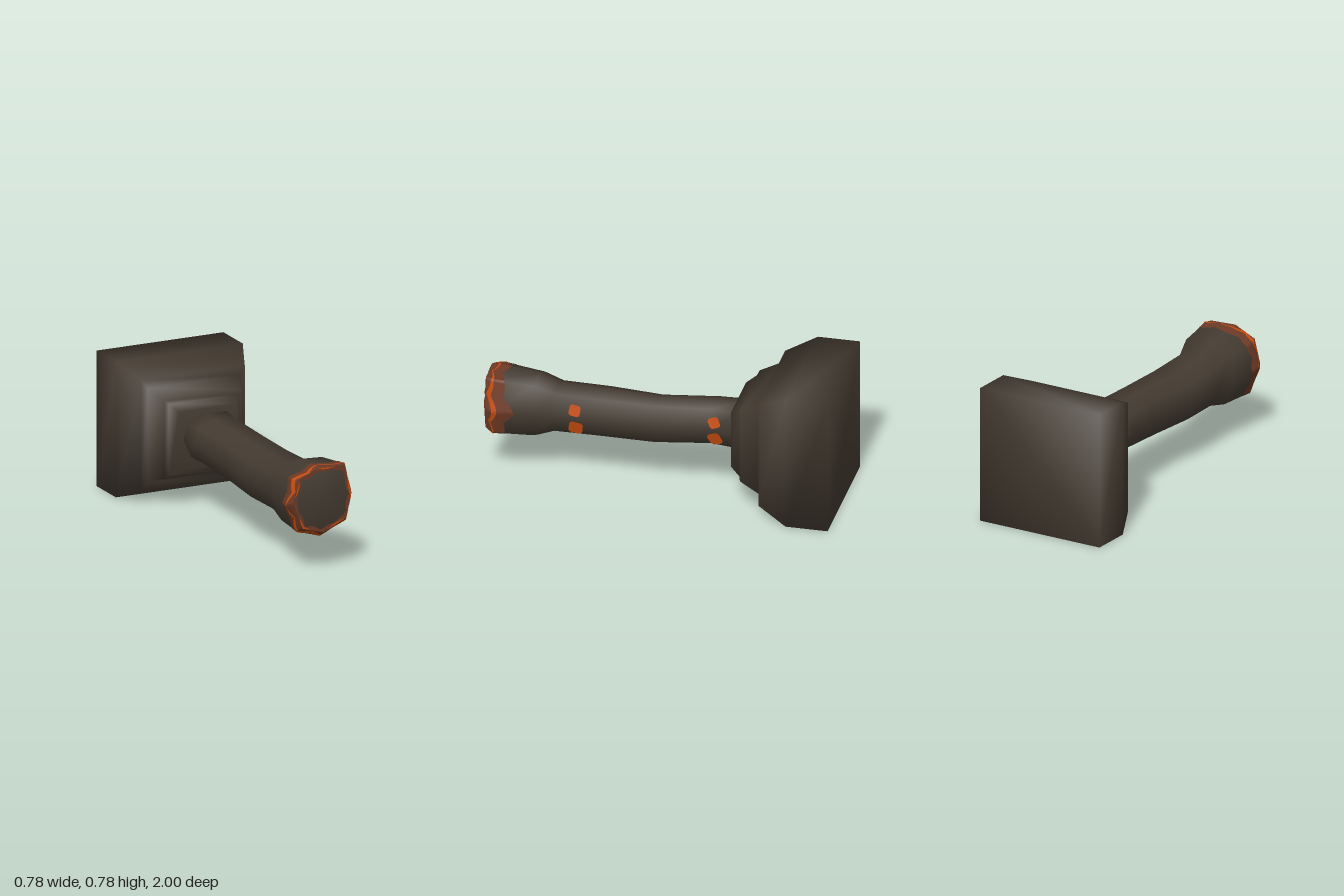
import * as THREE from 'three';

const iron = new THREE.MeshStandardMaterial({ name: 'darkIron', color: 0x443b31 });
const rust = new THREE.MeshStandardMaterial({ name: 'brownRust', color: 0x6e3a26, side: THREE.DoubleSide });
const ember = new THREE.MeshStandardMaterial({ name: 'orangeRust', color: 0xc64c0e, side: THREE.DoubleSide });

// Uneven octagon, counter-clockwise from +x
const OCT = [[1, 0.08], [0.78, 0.96], [-0.1, 1], [-0.8, 0.7], [-1, -0.02], [-0.68, -0.8], [0.03, -1], [0.83, -0.65]];
// Shaft sections: z, centre x, centre y, radius x, radius y
const SHAFT = [
  [-0.43, 0, 0.4, 0.155, 0.135], [-0.27, -0.01, 0.4, 0.14, 0.13],
  [0.05, 0.007, 0.378, 0.133, 0.137], [0.35, -0.01, 0.378, 0.15, 0.137],
  [0.62, -0.005, 0.382, 0.147, 0.142], [0.73, 0.005, 0.386, 0.172, 0.188],
  [0.96, 0.005, 0.396, 0.2, 0.202], [1, 0.006, 0.41, 0.178, 0.188],
];
// Head sections: z, half width, half height
const HEAD = [
  [-1, 0.392, 0.392], [-0.76, 0.392, 0.392], [-0.59, 0.32, 0.32], [-0.585, 0.28, 0.27],
  [-0.465, 0.237, 0.225], [-0.455, 0.215, 0.205], [-0.4, 0.18, 0.17],
];

function makeGeometry(points, index) {
  const g = new THREE.BufferGeometry().setFromPoints(points);
  g.setIndex(index);
  g.computeVertexNormals();
  return g;
}

// Joins loops of points; optional caps close both ends
function loft(loops, caps) {
  const n = loops[0].length, pts = loops.flat(), idx = [];
  for (let r = 0; r < loops.length - 1; r++) {
    for (let i = 0; i < n; i++) {
      const j = (i + 1) % n, a = r * n + i, b = r * n + j;
      idx.push(a, b, a + n, b, b + n, a + n);
    }
  }
  if (caps) {
    [0, loops.length - 1].forEach((r, end) => {
      const c = new THREE.Vector3();
      loops[r].forEach(p => c.addScaledVector(p, 1 / n));
      const k = pts.push(c) - 1;
      for (let i = 0; i < n; i++) {
        const a = r * n + i, b = r * n + (i + 1) % n;
        idx.push(k, end ? a : b, end ? b : a);
      }
    });
  }
  return makeGeometry(pts, idx);
}

// Point on the shaft: u runs 0..8 round the octagon, lift raises it off the skin
function onShaft(u, z, lift = 0) {
  let s = 0;
  while (s < SHAFT.length - 2 && z > SHAFT[s + 1][0]) s++;
  const A = SHAFT[s], B = SHAFT[s + 1], t = (z - A[0]) / (B[0] - A[0]);
  const [, cx, cy, rx, ry] = A.map((v, i) => v + (B[i] - v) * t);
  const v = ((u % 8) + 8) % 8, k = Math.floor(v), f = v - k;
  const p = OCT[k], q = OCT[(k + 1) % 8];
  const x = p[0] + (q[0] - p[0]) * f, y = p[1] + (q[1] - p[1]) * f;
  return new THREE.Vector3(cx + x * (rx + lift), cy + y * (ry + lift), z);
}

const N = 96;
const around = fn => Array.from({ length: N }, (_, i) => fn(i * 8 / N));

// Ragged band on the side of the flared end
function band(lo, hi, lift) {
  return loft([
    around(u => onShaft(u, lo(u), lift)),
    around(u => onShaft(u, Math.min(Math.max(0.96, lo(u)), hi(u)), lift)),
    around(u => onShaft(u, hi(u), lift)),
  ]);
}

// Ring on the end face between two fractions of its radius
function faceRing(inner, outer, lift) {
  const at = (u, f) => {
    const p = onShaft(u, 1);
    return new THREE.Vector3(0.006 + (p.x - 0.006) * f, 0.41 + (p.y - 0.41) * f, 1 + lift);
  };
  return loft([around(u => at(u, outer(u))), around(u => at(u, inner(u)))]);
}

// Rounded rust spot wrapped over the shaft
function spot(u, z, ru, rz) {
  const pts = [onShaft(u, z, 0.004)], idx = [], n = 24;
  for (const f of [0.5, 1]) {
    for (let i = 0; i < n; i++) {
      const a = i / n * Math.PI * 2, r = f * (1 + 0.1 * Math.cos(4 * a + z * 5));
      pts.push(onShaft(u + ru * r * Math.sin(a), z + rz * r * Math.cos(a), 0.004));
    }
  }
  for (let i = 0; i < n; i++) {
    const a = 1 + i, b = 1 + (i + 1) % n;
    idx.push(0, b, a, a, b, a + n, b, b + n, a + n);
  }
  return makeGeometry(pts, idx);
}

export function createModel() {
  const model = new THREE.Group();
  model.name = 'hammer';
  const add = (name, geometry, material) => {
    const m = new THREE.Mesh(geometry, material);
    m.name = name;
    model.add(m);
  };

  // Stepped square head
  const corners = [[1, 1], [-1, 1], [-1, -1], [1, -1]];
  add('steppedHead', loft(HEAD.map(([z, w, h]) =>
    corners.map(([x, y]) => new THREE.Vector3(x * w, 0.392 + y * h, z))), true), iron);

  // Uneven shaft with flared end
  add('shaft', loft(SHAFT.map(s => OCT.map((_, k) => onShaft(k, s[0]))), true), iron);

  // Rust round the flared end: peaks lie on the octagon corners
  const peak = u => Math.abs(Math.cos(u * Math.PI));
  const right = u => Math.max(0, 1 - Math.min(u, 8 - u));
  add('rustBand', band(u => 0.925 - 0.03 * peak(u) - 0.06 * right(u), () => 1, 0.002), rust);
  const streak = u => 0.978 - 0.025 * peak(u) - 0.025 * right(u);
  add('orangeStreak', band(streak,
    u => Math.min(1, streak(u) + 0.018 + 0.012 * Math.sin(u * 2.356 + 1)), 0.004), ember);
  add('rustRim', faceRing(u => 0.93 - 0.06 * Math.abs(Math.sin(u * Math.PI * 11 / 8)), () => 1, 0.002), rust);
  add('orangeRim', faceRing(u => 1 - 0.06 * Math.max(0, Math.sin(u * Math.PI * 1.25 + 0.9)), () => 1, 0.004), ember);

  // Two rows of rust spots on the left flank
  for (const z of [0.5, -0.29]) {
    add('upperSpot', spot(0.36, z, 0.27, 0.035), ember);
    add('lowerSpot', spot(7.42, z - 0.005, 0.4, 0.043), ember);
    add('undersideSpot', spot(6.55, z, 0.2, 0.035), ember);
  }
  return model;
}
